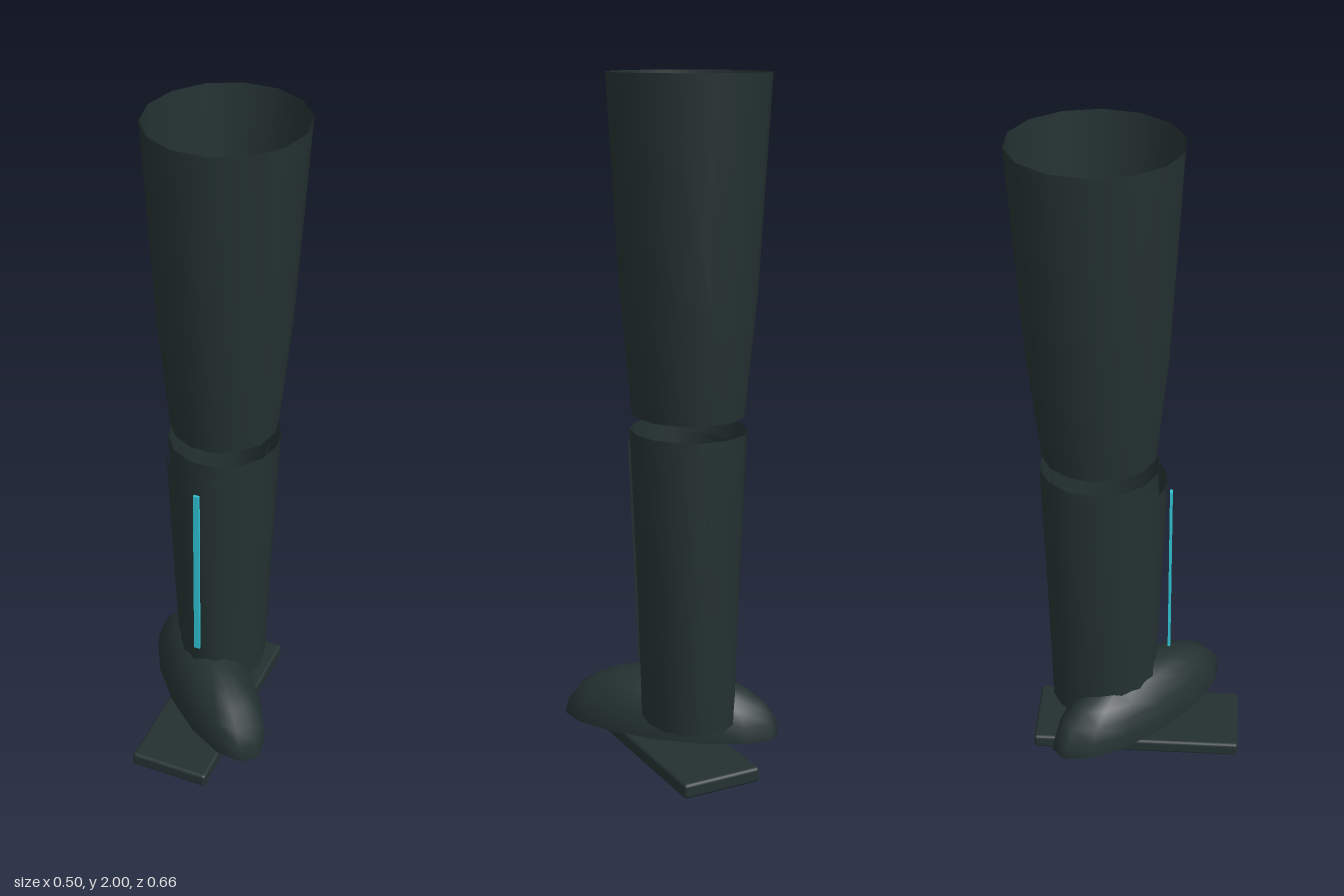
import * as THREE from 'three';
import { mergeVertices } from 'three/addons/utils/BufferGeometryUtils.js';
import { RoundedBoxGeometry } from 'three/addons/geometries/RoundedBoxGeometry.js';

// Open elliptical shell; each ring is [y, radiusX, radiusZ, centreZ], bottom to top.
function shell(rings, sides, start = Math.PI / 2, sweep = Math.PI * 2) {
  const profile = rings.map(([y, rx]) => new THREE.Vector2(rx, y));
  const lathe = new THREE.LatheGeometry(profile, sides, start, sweep);
  const pos = lathe.attributes.position;
  for (let i = 0; i < pos.count; i++) {
    const [, rx, rz, cz] = rings[i % rings.length];
    pos.setZ(i, pos.getZ(i) * rz / rx + cz);
  }
  lathe.deleteAttribute('uv');
  lathe.deleteAttribute('normal');
  const geometry = mergeVertices(lathe, 1e-5);
  geometry.computeVertexNormals();
  return geometry;
}

export function createModel() {
  const group = new THREE.Group();
  const armour = new THREE.MeshStandardMaterial({ color: 0x243131, side: THREE.DoubleSide });
  armour.name = 'dark armour';
  const glow = new THREE.MeshStandardMaterial({ color: 0x2fc3d3 });
  glow.name = 'cyan strip';

  const add = (name, geometry, material = armour) => {
    const mesh = new THREE.Mesh(geometry, material);
    mesh.name = name;
    group.add(mesh);
    return mesh;
  };

  // Thigh tube, open at both ends
  add('thigh', shell([
    [1.065, 0.157, 0.167, -0.103],
    [1.4, 0.188, 0.201, -0.102],
    [2, 0.222, 0.235, -0.102],
  ], 14));

  // Outer shin tube with a narrower liner inside
  add('shin', shell([
    [0.15, 0.13, 0.157, -0.104],
    [0.5, 0.141, 0.162, -0.104],
    [1.02, 0.164, 0.174, -0.103],
  ], 14));
  add('shinLiner', shell([
    [0.2, 0.112, 0.145, -0.083],
    [0.97, 0.132, 0.165, -0.088],
  ], 10));

  // Raised plate over the front of the shin
  const arc = THREE.MathUtils.degToRad(55);
  add('shinPlate', shell([
    [0.305, 0.138, 0.169, -0.103],
    [0.97, 0.166, 0.196, -0.103],
  ], 8, -arc, arc * 2));

  // Light strip in front of the plate
  add('lightStrip', new THREE.BoxGeometry(0.018, 0.585, 0.008), glow).position.set(0, 0.64, 0.104);

  // Hollow half-ellipsoid over the foot, turned diagonally
  const dome = add('footDome', new THREE.SphereGeometry(1, 14, 6, 0, Math.PI * 2, 0, Math.PI / 2));
  dome.scale.set(0.13, 0.183, 0.336);
  dome.rotation.y = Math.PI / 4;
  dome.position.set(0, 0.083, 0.007);

  // Sole plate
  add('sole', new RoundedBoxGeometry(0.245, 0.045, 0.645, 2, 0.01)).position.set(0, 0.0225, 0.007);

  return group;
}
